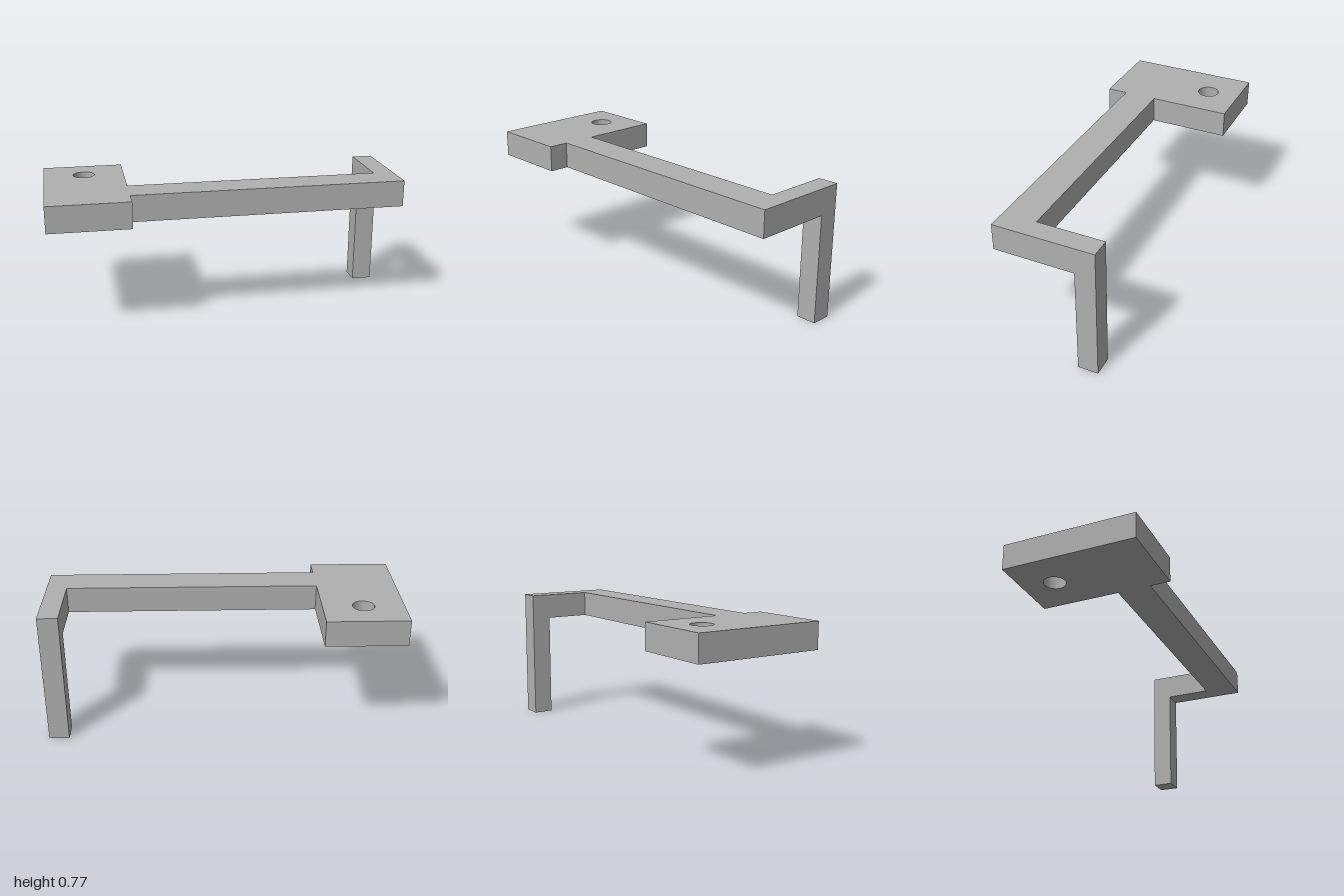
import * as THREE from 'three';
import { toCreasedNormals } from 'three/addons/utils/BufferGeometryUtils.js';

const TOP = 0.77, THICKNESS = 0.15;

export function createModel() {
  const model = new THREE.Group();
  model.name = 'bracket';
  const grey = new THREE.MeshStandardMaterial({ color: 0xb0b0b0 });
  grey.name = 'grey';

  // Flat outline in x and z: mounting plate, long arm and hooked end
  const outline = new THREE.Shape([
    [-1, -0.38], [-0.545, -0.38], [-0.545, 0.075], [0.885, 0.075],
    [0.885, -0.305], [1, -0.305], [1, 0.265], [-0.545, 0.265],
    [-0.545, 0.38], [-1, 0.38],
  ].map(([x, z]) => new THREE.Vector2(x, z)));

  // Round screw hole through the plate
  const hole = new THREE.Path();
  hole.absarc(-0.773, -0.192, 0.061, 0, Math.PI * 2, true);
  outline.holes.push(hole);

  const flat = new THREE.ExtrudeGeometry(outline, {
    depth: THICKNESS, bevelEnabled: false, curveSegments: 48,
  });
  flat.rotateX(Math.PI / 2).translate(0, TOP, 0);
  const arm = new THREE.Mesh(toCreasedNormals(flat, 0.5), grey);
  arm.name = 'plateAndArm';

  // Leg hanging from the hooked end
  const legHeight = TOP - THICKNESS;
  const leg = new THREE.Mesh(new THREE.BoxGeometry(0.115, legHeight, 0.115), grey);
  leg.position.set(0.9425, legHeight / 2, -0.2475);
  leg.name = 'leg';

  model.add(arm, leg);
  return model;
}
